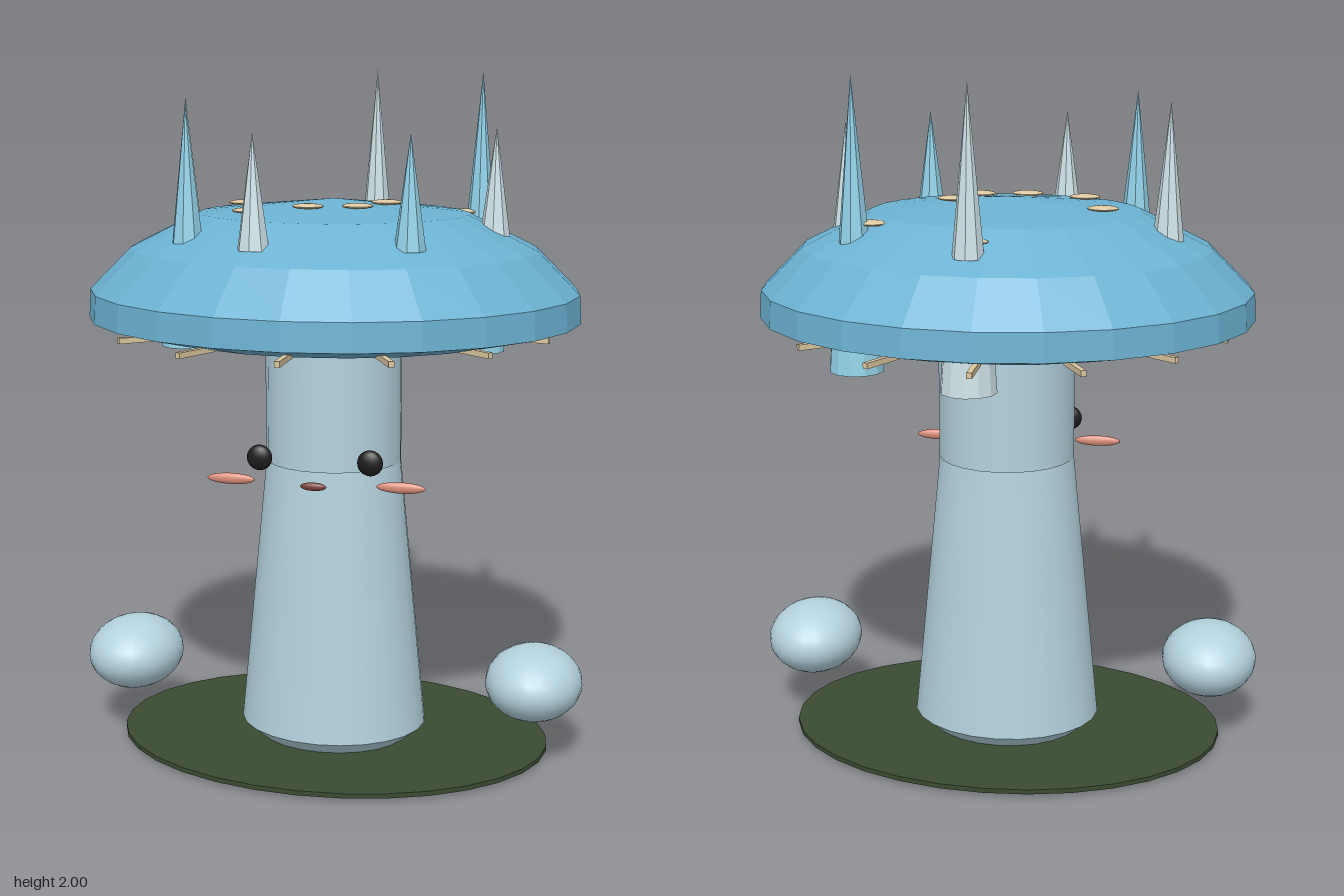
import * as THREE from 'three';

const mat = (color, extra = {}) => new THREE.MeshStandardMaterial({ color, ...extra });
const CAP_DEPTH = 0.88; // cap is an ellipse: depth / width

// Cap outline, from the underside centre round the rim to the crown
const capProfile = [
  [0, 1.235], [0.3, 1.238], [0.55, 1.262], [0.715, 1.3], [0.71, 1.38],
  [0.59, 1.5], [0.39, 1.6], [0, 1.64],
];

// Height of the cap's upper surface at x, z
function capHeight(x, z) {
  const r = Math.hypot(x, z / CAP_DEPTH);
  for (let i = capProfile.length - 1; i > 4; i--) {
    const [r0, y0] = capProfile[i], [r1, y1] = capProfile[i - 1];
    if (r <= r1) return y0 + (y1 - y0) * (r - r0) / (r1 - r0);
  }
  return 1.38;
}

export function createModel() {
  const group = new THREE.Group();

  const add = (name, geometry, material, x = 0, y = 0, z = 0) => {
    const mesh = new THREE.Mesh(geometry, material);
    mesh.name = name;
    mesh.position.set(x, y, z);
    group.add(mesh);
    return mesh;
  };
  const blob = (name, material, [x, y, z], [rx, ry, rz]) =>
    add(name, new THREE.SphereGeometry(1, 24, 16).scale(rx, ry, rz), material, x, y, z);

  const skin = mat(0xb4d2de);
  const paleBlue = mat(0xcfe3e8, { flatShading: true, side: THREE.DoubleSide });
  const lightBlue = mat(0x92d2e8, { flatShading: true, side: THREE.DoubleSide });
  const cream = mat(0xdcc8a0);
  const black = mat(0x1c1c1c);
  const pink = mat(0xd98c78);

  // Ground disc
  add('groundDisc', new THREE.CylinderGeometry(0.65, 0.65, 0.014, 32).scale(1, 1, 0.72),
    mat(0x3a4a32), 0, 0.016, 0);

  // Stem: chamfered foot, tapered body and a straight neck
  add('stemFoot', new THREE.CylinderGeometry(0.28, 0.2, 0.065, 24).scale(1, 1, 0.85), skin, 0, 0.0325, 0);
  add('stemBody', new THREE.CylinderGeometry(0.195, 0.28, 0.865, 24).scale(1, 1, 0.85), skin, 0, 0.4975, 0);
  add('neck', new THREE.CylinderGeometry(0.2, 0.2, 0.385, 24).scale(1, 1, 0.97), skin, 0, 1.0675, 0);

  // Cap
  const profile = capProfile.map(([r, y]) => new THREE.Vector2(r, y));
  add('cap', new THREE.LatheGeometry(profile, 24).scale(1, 1, CAP_DEPTH),
    mat(0x6cb2d2, { flatShading: true }));

  // Gill pegs under the rim
  const PEGS = 14;
  for (let i = 0; i < PEGS; i++) {
    const a = (i / PEGS) * Math.PI * 2;
    const peg = add('gillPeg', new THREE.BoxGeometry(0.015, 0.016, 0.14), cream,
      Math.sin(a) * 0.587, 1.274, Math.cos(a) * 0.587);
    peg.rotation.y = a;
  }

  // Spikes: x, z, height, material
  const spikes = [
    [0.04, -0.43, 0.46, paleBlue], [0.392, -0.235, 0.46, lightBlue],
    [-0.465, -0.08, 0.385, paleBlue], [0.465, -0.003, 0.31, paleBlue],
    [-0.348, 0.29, 0.385, lightBlue], [-0.125, 0.418, 0.31, paleBlue],
    [0.285, 0.345, 0.31, lightBlue],
  ];
  for (const [x, z, h, material] of spikes) {
    add('spike', new THREE.ConeGeometry(0.044, h, 8), material, x, 1.535 + h / 2, z);
    // Open collar of the longer spikes, showing beneath the cap
    if (h > 0.35) {
      const bottom = h > 0.4 ? 1.172 : 1.25;
      add('spikeCollar', new THREE.CylinderGeometry(0.07, 0.078, 0.12, 12, 1, true),
        material, x, bottom + 0.06, z);
    }
  }

  // Spots on the crown
  const spots = [
    [0.035, -0.4], [0.345, -0.22], [-0.28, -0.05], [0.155, 0],
    [-0.205, 0.185], [-0.04, 0.15], [0.095, 0.12],
  ];
  for (const [x, z] of spots) {
    blob('spot', cream, [x, capHeight(x, z) + 0.007, z], [0.045, 0.008, 0.034]);
  }

  // Face and hands
  for (const s of [1, -1]) {
    const side = s > 0 ? 'left' : 'right';
    blob(side + 'Eye', black, [s * 0.16, 0.925, 0.247], [0.037, 0.037, 0.02]);
    blob(side + 'Cheek', pink, [s * 0.247, 0.857, 0.24], [0.07, 0.016, 0.011]);
    blob(side + 'Hand', skin, [s * 0.613, 0.243, 0.05], [0.142, 0.108, 0.167]);
  }
  blob('mouth', mat(0x7a4038), [0, 0.852, 0.262], [0.038, 0.012, 0.01]);

  return group;
}
